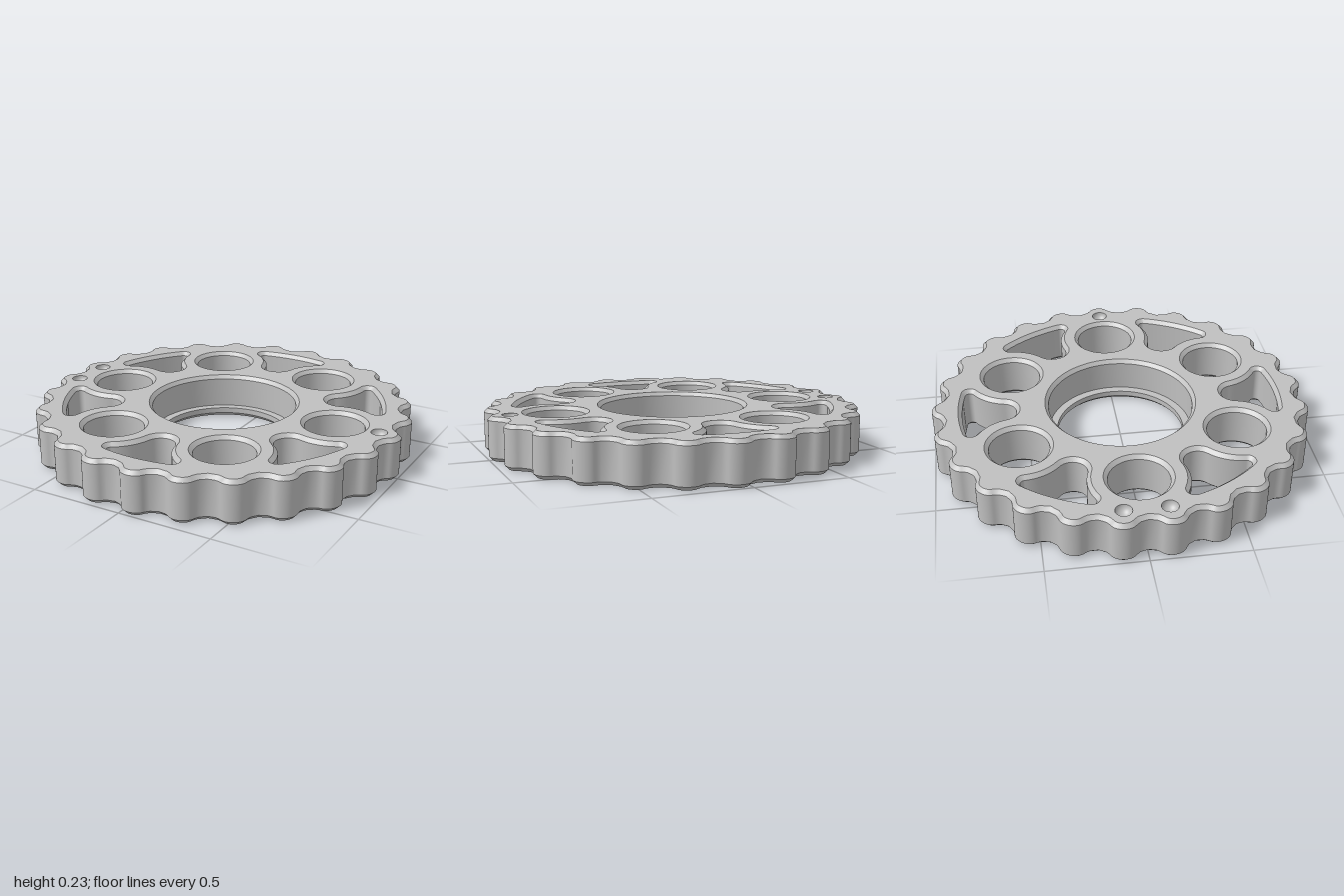
import * as THREE from 'three';

const HEIGHT = 0.23, BEVEL = 0.02, LOBES = 25;
const HOLE_RING = 0.649, TAU = Math.PI * 2;
const V = (x, y) => new THREE.Vector2(x, y);

// Contours are counter-clockwise plan points (x, -z).
function circle(r, cx = 0, cy = 0, n = 64) {
  return Array.from({ length: n }, (_, i) => V(cx + r * Math.cos(i / n * TAU), cy + r * Math.sin(i / n * TAU)));
}

// Cycloidal rim, moved inwards by inset
function rim(inset) {
  const E = 0.03, N = LOBES + 1, r = 0.07, R = 1.002 + r - E, n = LOBES * 28;
  return Array.from({ length: n }, (_, i) => {
    const t = i / n * TAU;
    // path of the roller centre and its outward normal
    const x = R * Math.cos(t) - E * Math.cos(N * t), y = R * Math.sin(t) - E * Math.sin(N * t);
    const dx = -R * Math.sin(t) + E * N * Math.sin(N * t), dy = R * Math.cos(t) - E * N * Math.cos(N * t);
    const k = (r + inset) / Math.hypot(dx, dy);
    return V(x - dy * k, y + dx * k).rotateAround(V(0, 0), Math.PI / LOBES);
  });
}

// Rounded window between two round holes, widened by grow
function windowOutline(grow, turn) {
  const H = V(HOLE_RING * 0.5, HOLE_RING * Math.sqrt(0.75));
  const web = 0.255, inner = 0.555, outer = 0.842, corner = 0.025;
  const k = inner - web;
  const c = (HOLE_RING ** 2 - k * k) / (2 * (H.y - k)); // tip centre height
  const T = V(0, c);
  const a = outer - corner, b = web + corner;
  const ang = Math.PI / 3 + Math.acos((HOLE_RING ** 2 + a * a - b * b) / (2 * HOLE_RING * a));
  const C = V(a * Math.cos(ang), a * Math.sin(ang));
  const dir = (p, q) => Math.atan2(q.y - p.y, q.x - p.x);
  const half = [];
  const arc = (o, r, from, to, n) => {
    for (let i = half.length ? 1 : 0; i <= n; i++) {
      const t = from + (to - from) * i / n;
      half.push(V(o.x + r * Math.cos(t), o.y + r * Math.sin(t)));
    }
  };
  arc(T, c - inner + grow, -Math.PI / 2, dir(T, H), 14);
  arc(H, web - grow, dir(H, T), dir(H, C), 14);
  arc(C, corner + grow, dir(C, H), ang, 14);
  arc(V(0, 0), outer + grow, ang, Math.PI / 2, 6);
  const mirrored = half.slice(1, -1).reverse().map(p => V(-p.x, p.y));
  return [...half, ...mirrored].map(p => p.rotateAround(V(0, 0), turn));
}

// Wall bands through matching loops [points, height]; each band is smooth, edges between bands stay sharp
function wall(loops, inward) {
  const pos = [], idx = [];
  for (let l = 0; l + 1 < loops.length; l++) {
    const n = loops[l][0].length, base = pos.length / 3;
    for (const [pts, y] of [loops[l], loops[l + 1]]) for (const p of pts) pos.push(p.x, y, -p.y);
    for (let i = 0; i < n; i++) {
      const a = base + i, b = base + (i + 1) % n;
      if (inward) idx.push(a, b + n, b, a, a + n, b + n);
      else idx.push(a, b, b + n, a, b + n, a + n);
    }
  }
  const g = new THREE.BufferGeometry();
  g.setAttribute('position', new THREE.Float32BufferAttribute(pos, 3));
  g.setIndex(idx);
  g.computeVertexNormals();
  return g;
}

// Straight wall with a bevel at both ends
const bevelled = (wide, straight) =>
  [[wide, 0], [straight, BEVEL], [straight, HEIGHT - BEVEL], [wide, HEIGHT]];

export function createModel() {
  const group = new THREE.Group();
  const steel = new THREE.MeshStandardMaterial({ color: 0xbfbfbf });
  steel.name = 'plain steel';
  const disc = new THREE.Group();
  disc.name = 'cycloidalDisc';
  disc.position.x = -0.002;
  group.add(disc);
  const add = (name, geo) => {
    const m = new THREE.Mesh(geo, steel);
    m.name = name;
    disc.add(m);
    return m;
  };

  // Lobed rim
  const edge = rim(BEVEL);
  add('lobedRim', wall(bevelled(edge, rim(0)), false));

  // Six round pin holes and six windows
  const holes = [];
  for (let i = 0; i < 6; i++) {
    const a = i * TAU / 6, x = HOLE_RING * Math.cos(a), y = HOLE_RING * Math.sin(a);
    const wide = circle(0.175, x, y), win = windowOutline(BEVEL, a);
    add('pinHole', wall(bevelled(wide, circle(0.155, x, y)), true));
    add('window', wall(bevelled(win, windowOutline(0, a)), true));
    holes.push(wide, win);
  }

  // Bearing seat with a lip at the bottom
  const bore = [[0.362, 0], [0.342, BEVEL], [0.342, 0.05], [0.385, 0.05], [0.385, HEIGHT - BEVEL], [0.403, HEIGHT]]
    .map(([r, y]) => [circle(r, 0, 0, 96), y]);
  add('bearingSeat', wall(bore, true));

  // Marker dimples on both faces
  const R = 0.042;
  const bowl = Array.from({ length: 11 }, (_, i) =>
    V(Math.max(0, R * Math.cos(i / 20 * Math.PI)), -R * Math.sin(i / 20 * Math.PI)));
  for (const [x, z] of [[0.89, 0], [-0.885, 0.11], [-0.885, -0.11]]) {
    add('topDimple', new THREE.LatheGeometry(bowl, 32)).position.set(x, HEIGHT, z);
    const low = add('bottomDimple', new THREE.LatheGeometry(bowl, 32));
    low.position.set(x, 0, z);
    low.rotation.x = Math.PI;
    holes.push(circle(R, x, -z, 32));
  }

  // Flat faces
  const face = (boreLoop) => {
    const s = new THREE.Shape(edge);
    s.holes = [...holes, boreLoop].map(h => new THREE.Path(h));
    return new THREE.ShapeGeometry(s);
  };
  add('topFace', face(bore[5][0]).rotateX(-Math.PI / 2)).position.y = HEIGHT;
  // the plan is symmetric about x, so turning it over keeps every hole in place
  add('bottomFace', face(bore[0][0]).rotateX(Math.PI / 2));

  return group;
}
